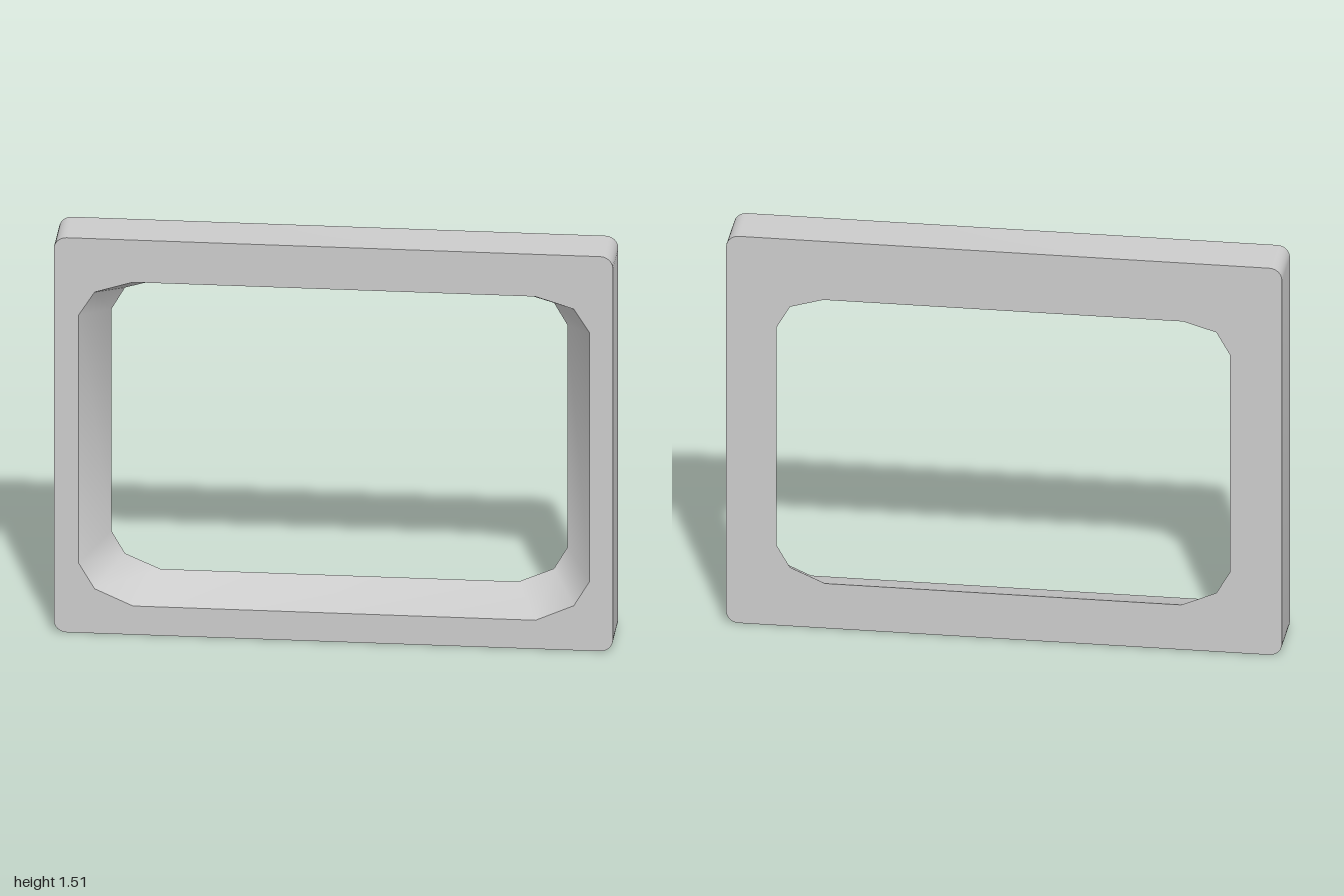
import * as THREE from 'three';
import { mergeGeometries, toCreasedNormals } from 'three/addons/utils/BufferGeometryUtils.js';

const W = 1, H = 1.515, R = 0.045, D = 0.1;

// Outer outline, counter-clockwise, with rounded corners
function outerLoop(steps = 6) {
  const pts = [];
  const centres = [[W - R, R], [W - R, H - R], [R - W, H - R], [R - W, R]];
  centres.forEach(([cx, cy], c) => {
    for (let i = 0; i <= steps; i++) {
      const a = (c - 1 + i / steps) * Math.PI / 2;
      pts.push(new THREE.Vector2(cx + R * Math.cos(a), cy + R * Math.sin(a)));
    }
  });
  return pts;
}

// Opening outline, counter-clockwise; the right half is mirrored about x = cx
function openingLoop(cx, half) {
  const right = half.map(([x, y]) => new THREE.Vector2(cx + x, y));
  const left = half.map(([x, y]) => new THREE.Vector2(cx - x, y)).reverse();
  return [...right, ...left];
}

// Flat face with a hole, facing +z or -z
function face(outer, hole, z, facing) {
  const shape = new THREE.Shape(outer);
  shape.holes.push(new THREE.Path(hole));
  const g = new THREE.ShapeGeometry(shape).toNonIndexed();
  g.translate(0, 0, z);
  const p = g.attributes.position.array;
  if (facing < 0) {
    for (let i = 0; i < p.length; i += 9) {
      for (let k = 0; k < 3; k++) [p[i + 3 + k], p[i + 6 + k]] = [p[i + 6 + k], p[i + 3 + k]];
    }
  }
  g.deleteAttribute('uv');
  g.deleteAttribute('normal');
  return g;
}

// Wall joining a front loop to a back loop
function wall(front, back, inward) {
  const pos = [];
  const n = front.length;
  for (let i = 0; i < n; i++) {
    const j = (i + 1) % n;
    const a = [front[i].x, front[i].y, D], b = [front[j].x, front[j].y, D];
    const c = [back[j].x, back[j].y, -D], d = [back[i].x, back[i].y, -D];
    if (inward) pos.push(...a, ...b, ...c, ...a, ...c, ...d);
    else pos.push(...a, ...c, ...b, ...a, ...d, ...c);
  }
  const g = new THREE.BufferGeometry();
  g.setAttribute('position', new THREE.Float32BufferAttribute(pos, 3));
  return g;
}

export function createModel() {
  const outer = outerLoop();
  const frontHole = openingLoop(0.003, [
    [0.72, 0.11], [0.857, 0.171], [0.914, 0.267],
    [0.914, 1.22], [0.857, 1.31], [0.72, 1.353],
  ]);
  const backHole = openingLoop(0.003, [
    [0.64, 0.175], [0.767, 0.23], [0.816, 0.315],
    [0.816, 1.166], [0.767, 1.251], [0.647, 1.286],
  ]);

  // Frame with a tapered opening
  const geometry = mergeGeometries([
    face(outer, frontHole, D, 1),
    face(outer, backHole, -D, -1),
    wall(outer, outer, false),
    wall(frontHole, backHole, true),
  ]);
  const frame = new THREE.Mesh(
    toCreasedNormals(geometry, THREE.MathUtils.degToRad(35)),
    new THREE.MeshStandardMaterial({ color: 0xcccccc }),
  );
  frame.name = 'frame';

  const model = new THREE.Group();
  model.name = 'windowFrame';
  model.add(frame);
  return model;
}
